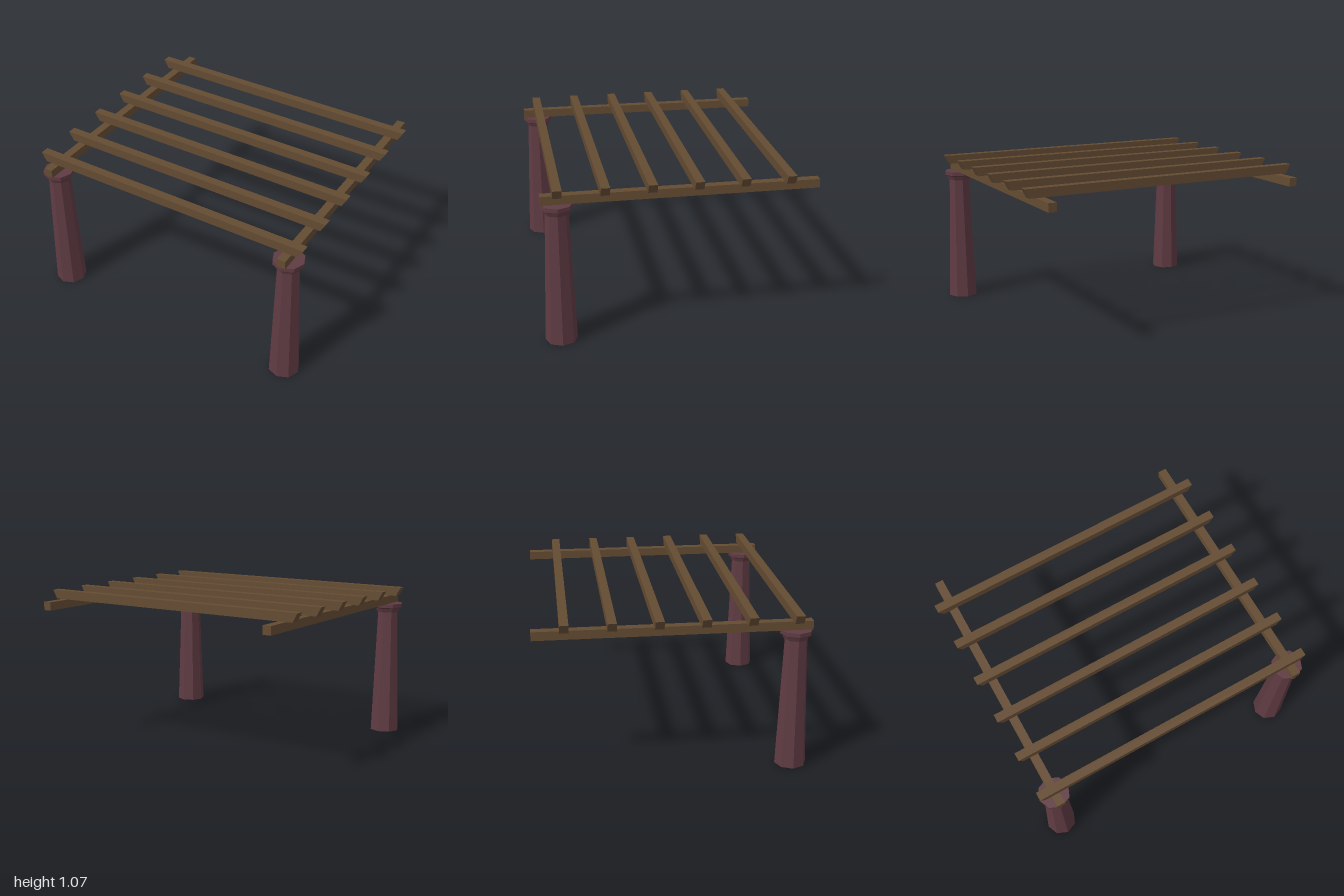
import * as THREE from 'three';

const wood = new THREE.MeshStandardMaterial({ color: 0x644b32, flatShading: true });
const stone = new THREE.MeshStandardMaterial({ color: 0x5f3b43, flatShading: true });

const SIDE_X = 0.893;   // line of the columns and side beams
const BEAM = 0.058;     // timber thickness
const BEAM_Y = 0.947;   // top of the columns
const RAFTER_Y = BEAM_Y + BEAM;

function add(parent, name, geometry, material, x, y, z) {
  const mesh = new THREE.Mesh(geometry, material);
  mesh.name = name;
  mesh.position.set(x, y, z);
  parent.add(mesh);
}

export function createModel() {
  const group = new THREE.Group();
  group.name = 'pergola';

  // Octagonal tapered column with a flared capital
  const profile = [
    [0, 0], [0.105, 0], [0.074, 0.885], [0.081, 0.885],
    [0.092, 0.912], [0.105, 0.92], [0.105, BEAM_Y], [0, BEAM_Y],
  ].map(([r, y]) => new THREE.Vector2(r, y));
  const columnGeometry = new THREE.LatheGeometry(profile, 8);

  // Side beam running front to back
  const beamGeometry = new THREE.BoxGeometry(BEAM, BEAM, 1.78);

  for (const [side, label] of [[1, 'left'], [-1, 'right']]) {
    add(group, label + 'Column', columnGeometry, stone, side * SIDE_X, 0, 0.787);
    add(group, label + 'Beam', beamGeometry, wood, side * SIDE_X, BEAM_Y + BEAM / 2, 0);
  }

  // Cross rafters with ends cut back underneath
  const outline = new THREE.Shape([
    new THREE.Vector2(-0.966, 0), new THREE.Vector2(0.966, 0),
    new THREE.Vector2(1, 0.061), new THREE.Vector2(-1, 0.061),
  ]);
  const rafterGeometry = new THREE.ExtrudeGeometry(outline, { depth: BEAM, bevelEnabled: false });
  rafterGeometry.translate(0, 0, -BEAM / 2);
  for (let i = 0; i < 6; i++) {
    add(group, 'rafter' + (i + 1), rafterGeometry, wood, 0, RAFTER_Y, 0.787 - i * 0.2945);
  }

  return group;
}
